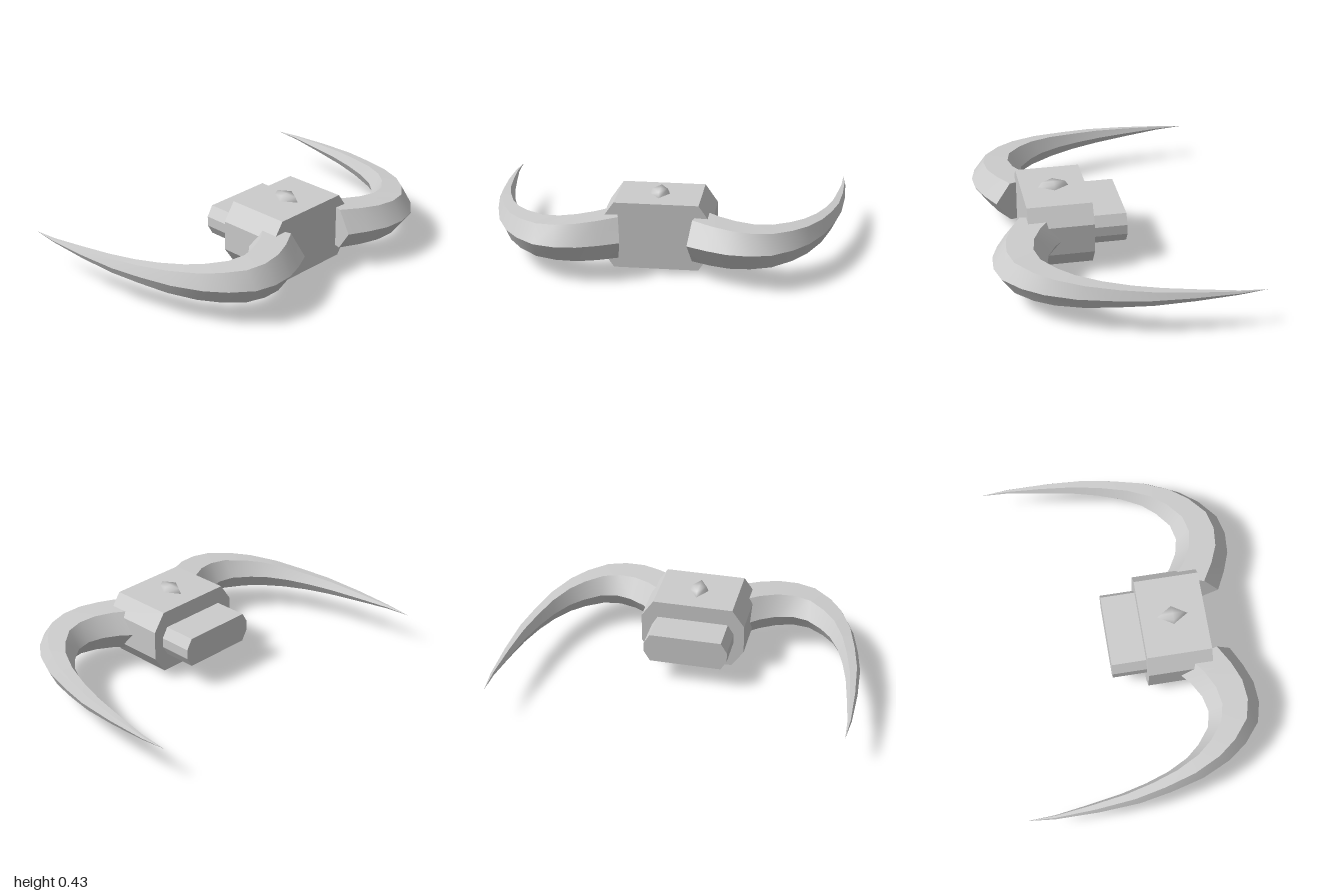
import * as THREE from 'three';
import { toCreasedNormals } from 'three/addons/utils/BufferGeometryUtils.js';

const MID = 0.213; // height of the horizontal symmetry plane

// Horn stations: outer x, outer z, inner x, inner z, half height
const STATIONS = [
  [0.18, 0.585, 0.26, 0.25, 0.117],
  [0.29, 0.64, 0.35, 0.33, 0.112],
  [0.40, 0.68, 0.44, 0.38, 0.107],
  [0.52, 0.688, 0.53, 0.40, 0.10],
  [0.635, 0.66, 0.62, 0.38, 0.094],
  [0.745, 0.57, 0.71, 0.31, 0.086],
  [0.825, 0.465, 0.775, 0.235, 0.078],
  [0.90, 0.305, 0.835, 0.12, 0.066],
  [0.95, 0.12, 0.88, -0.01, 0.052],
  [0.985, -0.06, 0.918, -0.16, 0.041],
  [1.0, -0.29, 0.95, -0.35, 0.026],
  [1.0, -0.53, 0.977, -0.53, 0.01],
  [0.985, -0.685, 0.985, -0.685, 0],
];

// Hexagonal section: [position from outer to inner edge, height sign]
const SECTION = [[0, 0], [0.25, 1], [0.75, 1], [1, 0], [0.75, -1], [0.25, -1]];

function hornGeometry(side) {
  const positions = [];
  const index = [];
  const n = SECTION.length;
  const face = (a, b, c) => (side > 0 ? index.push(a, b, c) : index.push(a, c, b));
  for (const [ox, oz, ix, iz, h] of STATIONS) {
    for (const [t, s] of SECTION) {
      positions.push(side * (ox + (ix - ox) * t), MID + s * h, oz + (iz - oz) * t);
    }
  }
  for (let i = 0; i < STATIONS.length - 1; i++) {
    const last = i === STATIONS.length - 2;
    for (let j = 0; j < n; j++) {
      const a = i * n + j, b = i * n + (j + 1) % n;
      face(a, a + n, b);
      if (!last) face(b, a + n, b + n);
    }
  }
  for (let j = 1; j < n - 1; j++) face(0, j, j + 1); // root cap
  const geometry = new THREE.BufferGeometry();
  geometry.setAttribute('position', new THREE.Float32BufferAttribute(positions, 3));
  geometry.setIndex(index);
  return toCreasedNormals(geometry, 0.6);
}

// Box along z with its four long edges chamfered by cx, cy
function chamferedBlock(w, h, cx, cy, z0, z1) {
  const shape = new THREE.Shape([
    [w, -h + cy], [w, h - cy], [w - cx, h], [-w + cx, h],
    [-w, h - cy], [-w, -h + cy], [-w + cx, -h], [w - cx, -h],
  ].map(([x, y]) => new THREE.Vector2(x, y)));
  const geometry = new THREE.ExtrudeGeometry(shape, { depth: z1 - z0, bevelEnabled: false });
  return geometry.translate(0, MID, z0);
}

export function createModel() {
  const model = new THREE.Group();
  model.name = 'hornedBlock';
  const grey = new THREE.MeshStandardMaterial({ color: 0xcccccc });
  grey.name = 'light grey';

  const add = (name, geometry) => {
    const mesh = new THREE.Mesh(geometry, grey);
    mesh.name = name;
    model.add(mesh);
    return mesh;
  };

  // Central body and the smaller block behind it
  add('body', chamferedBlock(0.30, 0.185, 0.07, 0.1, 0.10, 0.465));
  add('rearBlock', chamferedBlock(0.24, 0.086, 0.035, 0.058, -0.095, 0.12));

  // Diamond studs on the top and bottom
  for (const side of [1, -1]) {
    const stud = toCreasedNormals(new THREE.CylinderGeometry(0.73, 1, 0.035, 4), 0.3);
    stud.scale(0.057, 1, 0.09);
    if (side < 0) stud.rotateX(Math.PI);
    stud.translate(0, MID + side * 0.1955, 0.281);
    add(side > 0 ? 'topStud' : 'bottomStud', stud);
  }

  // Curved horns sweeping out and back
  add('leftHorn', hornGeometry(1));
  add('rightHorn', hornGeometry(-1));
  return model;
}
